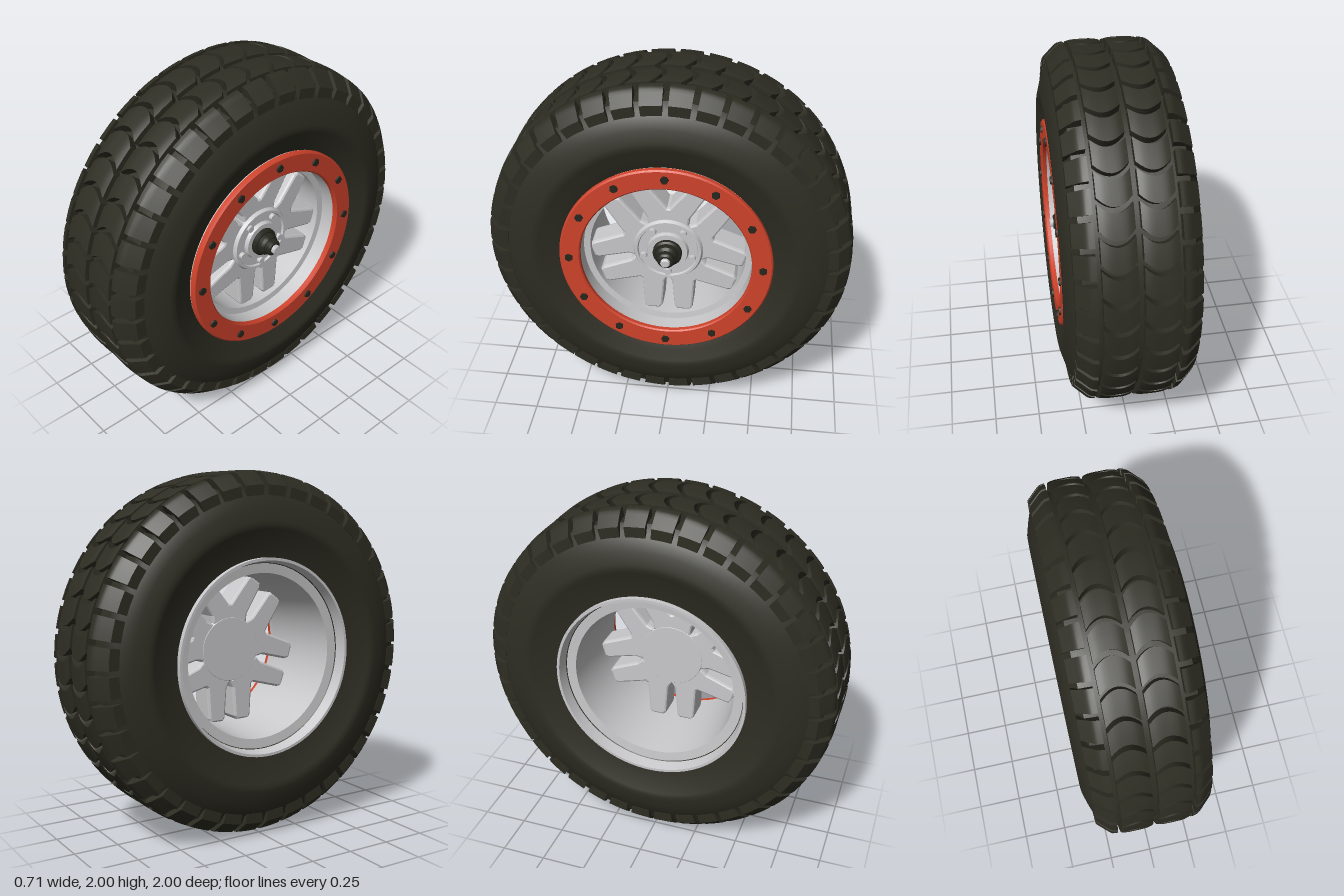
import * as THREE from 'three';
import { mergeGeometries, toCreasedNormals } from 'three/addons/utils/BufferGeometryUtils.js';

const mat = (name, color) => {
  const m = new THREE.MeshStandardMaterial({ color });
  m.name = name;
  return m;
};

export function createModel() {
  const rubber = mat('rubber', 0x2e2d23);
  const silver = mat('silver', 0xc9c9cb);
  const red = mat('red', 0xd0432b);
  const black = mat('black', 0x27271f);

  const wheel = new THREE.Group();
  wheel.name = 'wheel';
  wheel.position.y = 1;

  const add = (name, geometry, material) => {
    const mesh = new THREE.Mesh(geometry, material);
    mesh.name = name;
    wheel.add(mesh);
    return mesh;
  };

  // Revolve [radius, x] points around the axle, which runs along x
  const turned = (points, segments = 96) => {
    const g = new THREE.LatheGeometry(points.map(p => new THREE.Vector2(...p)), segments);
    g.rotateZ(-Math.PI / 2);
    return toCreasedNormals(g, 0.45);
  };

  // Copies of a part spaced evenly around the axle
  const ring = (geometry, count, start = 0) => {
    const copies = [];
    for (let i = 0; i < count; i++) {
      copies.push(geometry.clone().rotateX(start + (i / count) * Math.PI * 2));
    }
    return mergeGeometries(copies);
  };

  // Tyre carcass
  const side = [[0.945, 0.1], [0.94, 0.22], [0.93, 0.275], [0.885, 0.292], [0.86, 0.312],
    [0.8, 0.333], [0.735, 0.352], [0.71, 0.354], [0.69, 0.348], [0.63, 0.322], [0.57, 0.305], [0.5, 0.26]];
  const mirrored = side.map(([r, x]) => [r === 0.57 ? 0.535 : r, -x]).reverse();
  add('tyreCarcass', turned([...mirrored, ...side, [0.5, -0.26]]), rubber);

  // Tread block: a box bent around the tyre, with its ends bowed by an angle
  const PITCH = (Math.PI * 2) / 40;
  const treadBlock = (x0, x1, base, top, gap, bow) => {
    const g = new THREE.BoxGeometry(1, 1, 1, 8, 1, 2);
    const p = g.attributes.position;
    for (let i = 0; i < p.count; i++) {
      const u = p.getX(i) + 0.5;
      const r = p.getY(i) > 0 ? top(u) : base;
      const a = p.getZ(i) * (PITCH - gap) - bow * (1 - (2 * u - 1) ** 2);
      p.setXYZ(i, x0 + (x1 - x0) * u, r * Math.cos(a), r * Math.sin(a));
    }
    g.computeVertexNormals();
    return g;
  };
  const crown = u => 1 - 0.008 * Math.abs(2 * u - 1) ** 4;
  const slope = t => (t < 0.3 ? 0.992 - 0.02 * t : 0.986 - 0.095 * (t - 0.3));
  for (const s of [-1, 1]) {
    const label = s > 0 ? 'left' : 'right';
    const rib = s > 0 ? [0.015, 0.186] : [-0.186, -0.015];
    const edge = s > 0 ? [0.208, 0.311] : [-0.311, -0.208];
    add(label + 'CentreTread', ring(treadBlock(...rib, 0.93, crown, 0.03, 0.05), 40), rubber);
    add(label + 'ShoulderTread',
      ring(treadBlock(...edge, 0.865, u => slope(s > 0 ? u : 1 - u), 0.034, 0), 40, PITCH / 2), rubber);
  }

  // Rim barrel with a stepped lip at the back and a flange at the front
  add('rimBarrel', turned([
    [0.525, -0.335], [0.54, -0.335], [0.54, -0.3], [0.49, -0.25], [0.48, 0.25], [0.575, 0.288],
    [0.575, 0.316], [0.465, 0.316], [0.463, 0.235], [0.428, 0.23], [0.428, 0.05],
    [0.455, -0.265], [0.51, -0.27], [0.525, -0.335],
  ]), silver);

  // Clamping ring and its hexagonal bolts
  add('clampRing', turned([
    [0.465, 0.314], [0.578, 0.314], [0.578, 0.337], [0.57, 0.345],
    [0.472, 0.345], [0.465, 0.338], [0.465, 0.314],
  ]), red);
  const bolt = new THREE.CylinderGeometry(0.022, 0.024, 0.02, 6);
  bolt.rotateZ(-Math.PI / 2).translate(0.345, 0.525, 0);
  add('ringBolts', ring(bolt, 12), black);

  // Five forked spokes
  const half = [[0.1, 0.16], [0.105, 0.2], [0.195, 0.345], [0.195, 0.362], [0.142, 0.4], [0.128, 0.392], [0.012, 0.25]];
  const outline = [...half, ...half.map(([v, u]) => [-v, u]).reverse()];
  const fork = new THREE.Shape(outline.map(p => new THREE.Vector2(...p)));
  const spoke = new THREE.ExtrudeGeometry(fork, {
    depth: 0.12, bevelEnabled: true, bevelThickness: 0.018, bevelSize: 0.012, bevelSegments: 2,
  });
  spoke.rotateY(Math.PI / 2).translate(0.065, 0, 0);
  add('spokes', ring(spoke, 5), silver);

  // Hub plate with a raised rim and inner collar
  add('hub', turned([
    [0, 0.045], [0.18, 0.045], [0.192, 0.06], [0.192, 0.205], [0.182, 0.222], [0.168, 0.222],
    [0.163, 0.21], [0.115, 0.21], [0.108, 0.232], [0.08, 0.232], [0, 0.232],
  ], 64), silver);
  const nut = new THREE.CylinderGeometry(0.019, 0.021, 0.025, 16);
  nut.rotateZ(-Math.PI / 2).translate(0.218, -0.142, 0);
  add('wheelNuts', ring(nut, 5), silver);

  // Axle cap and its bright tip
  add('axleCap', turned([
    [0.08, 0.225], [0.08, 0.25], [0.07, 0.258], [0.062, 0.258], [0.062, 0.28], [0.05, 0.295],
    [0.046, 0.295], [0.046, 0.318], [0.036, 0.328], [0, 0.328],
  ], 40), black);
  add('axleTip', turned([[0.026, 0.32], [0.026, 0.342], [0.02, 0.348], [0, 0.348]], 24), silver);

  const model = new THREE.Group();
  model.name = 'offRoadWheel';
  model.add(wheel);
  return model;
}
